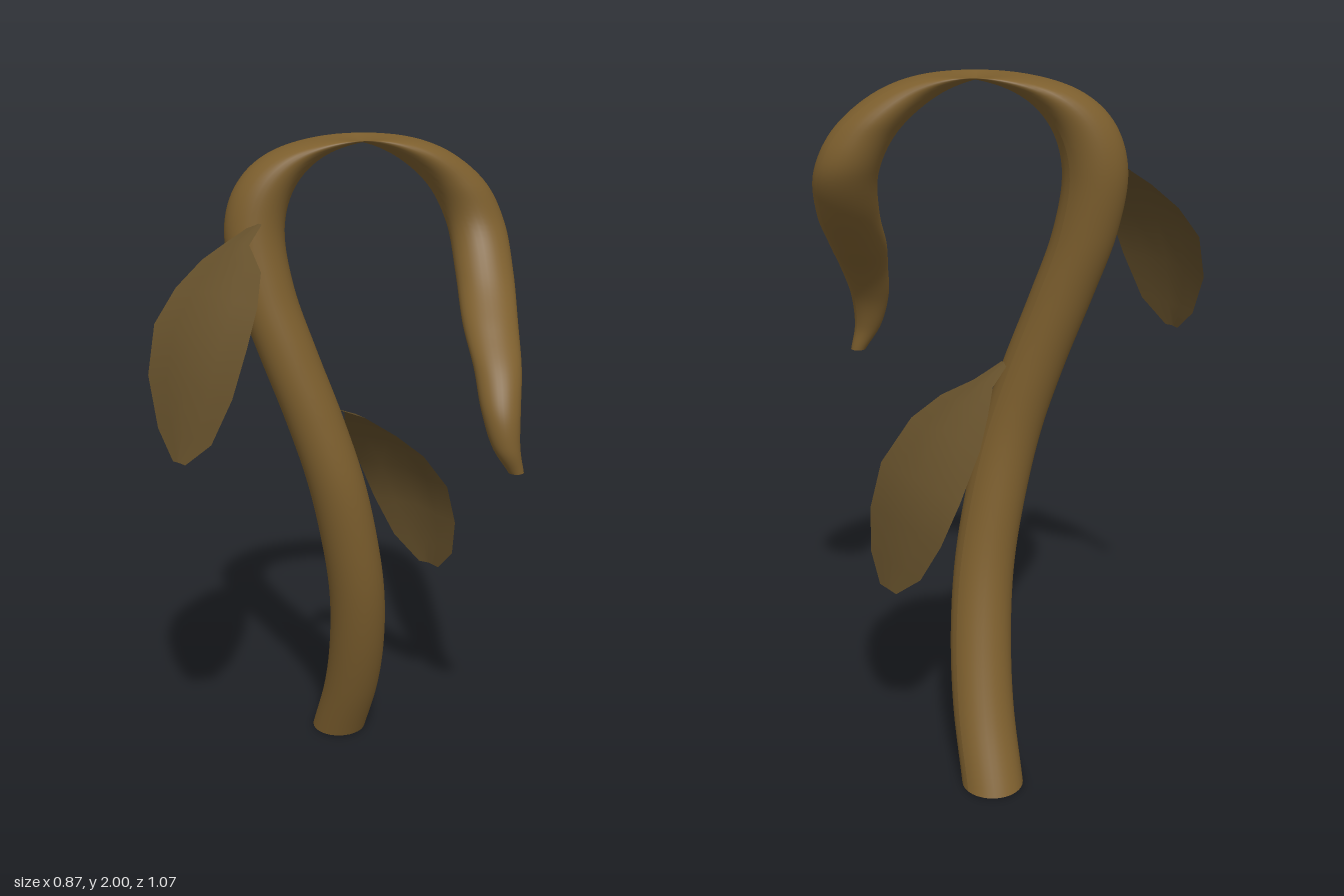
import * as THREE from 'three';

const stemMaterial = new THREE.MeshStandardMaterial({ color: 0x7d5f2e, side: THREE.DoubleSide });
const leafMaterial = new THREE.MeshStandardMaterial({ color: 0x65502b, side: THREE.DoubleSide });

// Surface through a grid of points: rows x cols, row by row
function gridGeometry(positions, rows, cols) {
  const index = [];
  for (let i = 0; i < rows - 1; i++) {
    for (let j = 0; j < cols - 1; j++) {
      const a = i * cols + j, b = a + 1, c = a + cols, d = c + 1;
      index.push(a, c, b, b, c, d);
    }
  }
  const geometry = new THREE.BufferGeometry();
  geometry.setAttribute('position', new THREE.Float32BufferAttribute(positions, 3));
  geometry.setIndex(index);
  geometry.computeVertexNormals();
  return geometry;
}

function addMesh(parent, geometry, material, name) {
  const mesh = new THREE.Mesh(geometry, material);
  mesh.name = name;
  parent.add(mesh);
  return mesh;
}

// Stem centre line: x, y, z, radius of the level ring
const STEM = [
  [-0.33, 0, -0.257, 0.088], [-0.245, 0.2, -0.225, 0.088], [-0.185, 0.4, -0.188, 0.088],
  [-0.15, 0.6, -0.148, 0.087], [-0.145, 0.8, -0.105, 0.087], [-0.16, 1.0, -0.06, 0.087],
  [-0.205, 1.2, -0.015, 0.087], [-0.265, 1.4, 0.03, 0.087], [-0.32, 1.58, 0.062, 0.087],
  [-0.35, 1.75, 0.067, 0.087], [-0.33, 1.88, 0.03, 0.087], [-0.27, 1.965, -0.055, 0.087],
  [-0.165, 2.0, -0.185, 0.087], [-0.07, 1.965, -0.3, 0.087], [0, 1.87, -0.405, 0.087],
  [0.05, 1.75, -0.447, 0.086], [0.125, 1.62, -0.4, 0.085], [0.22, 1.5, -0.31, 0.08],
  [0.307, 1.4, -0.235, 0.068], [0.36, 1.3, -0.185, 0.056], [0.39, 1.2, -0.175, 0.04],
  [0.41, 1.12, -0.2, 0.022],
];

// Level rings swept along the arch, so it thins to a ribbon at the top
function createStem() {
  const group = new THREE.Group();
  group.name = 'stem';
  const path = new THREE.CatmullRomCurve3(
    STEM.map(([x, y, z]) => new THREE.Vector3(x, y, z)), false, 'catmullrom', 0.5);
  const girth = new THREE.CatmullRomCurve3(
    STEM.map((s) => new THREE.Vector3(s[3], 0, 0)), false, 'catmullrom', 0.5);
  const rings = 169, sides = 32, positions = [];
  for (let i = 0; i < rings; i++) {
    const t = i / (rings - 1), p = path.getPoint(t), r = girth.getPoint(t).x;
    for (let j = 0; j <= sides; j++) {
      const a = (j / sides) * Math.PI * 2;
      positions.push(p.x + r * Math.sin(a), p.y, p.z - r * Math.cos(a));
    }
  }
  addMesh(group, gridGeometry(positions, rings, sides + 1), stemMaterial, 'stalk');

  // Flat ends
  for (const [name, s] of [['base', STEM[0]], ['tip', STEM[STEM.length - 1]]]) {
    const cap = addMesh(group, new THREE.CircleGeometry(s[3], sides), stemMaterial, name);
    cap.rotation.x = Math.PI / 2;
    cap.position.set(s[0], s[1], s[2]);
  }
  return group;
}

// Leaf blade from rows of: y, z, left edge x, right edge x; folded along its midrib
function createLeaf(rows, bulge, name) {
  const cols = 5, positions = [];
  for (const [y, z, x0, x1] of rows) {
    for (let j = 0; j < cols; j++) {
      const u = j / (cols - 1);
      const fold = (1 - Math.abs(2 * u - 1)) * (x1 - x0);
      positions.push(x0 + (x1 - x0) * u, y + 0.04 * fold, z + bulge * fold);
    }
  }
  const mesh = new THREE.Mesh(gridGeometry(positions, rows.length, cols), leafMaterial);
  mesh.name = name;
  return mesh;
}

export function createModel() {
  const model = new THREE.Group();
  model.name = 'sprout';
  model.add(createStem());
  model.add(createLeaf([
    [1.78, 0.115, -0.3, -0.27], [1.74, 0.2, -0.32, -0.235], [1.69, 0.26, -0.365, -0.13],
    [1.62, 0.34, -0.39, -0.065], [1.53, 0.415, -0.4, -0.03], [1.4, 0.47, -0.372, -0.035],
    [1.27, 0.505, -0.3, -0.085], [1.2, 0.53, -0.215, -0.165],
  ], 0.04, 'frontLeaf'));
  model.add(createLeaf([
    [1.205, -0.09, -0.185, -0.155], [1.165, -0.175, -0.225, -0.14], [1.11, -0.23, -0.275, -0.06],
    [1.04, -0.295, -0.325, -0.005], [0.92, -0.385, -0.355, 0.018], [0.79, -0.42, -0.315, 0.025],
    [0.67, -0.44, -0.245, 0], [0.595, -0.457, -0.15, -0.07],
  ], -0.04, 'backLeaf'));
  return model;
}
